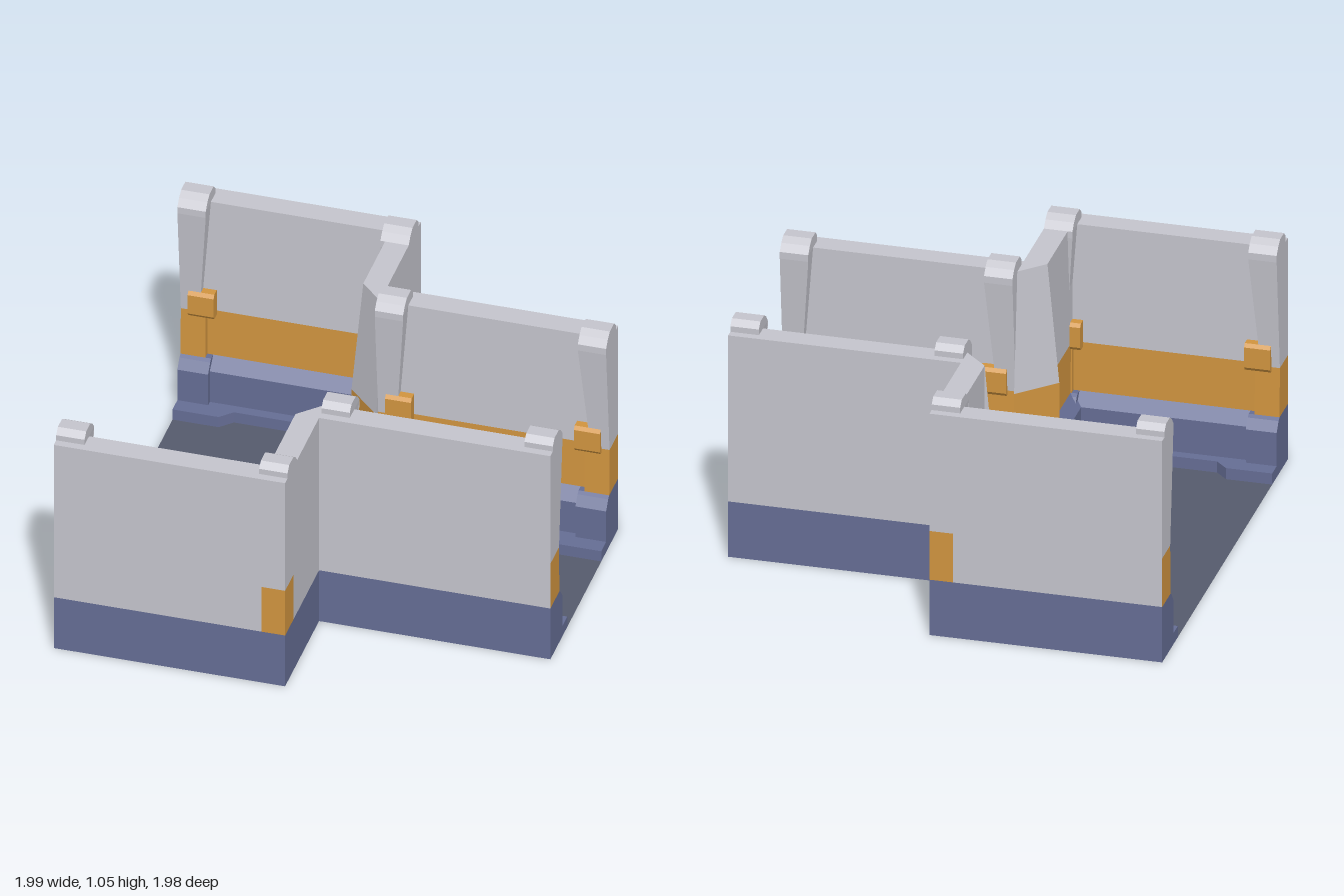
import * as THREE from 'three';

const mat = (name, color) => {
  const m = new THREE.MeshStandardMaterial({ color });
  m.name = name;
  return m;
};

// Swaps two corners of every triangle so mirrored geometry faces outward again.
function flip(geo) {
  const p = geo.attributes.position;
  const a = new THREE.Vector3(), b = new THREE.Vector3();
  for (let i = 0; i < p.count; i += 3) {
    a.fromBufferAttribute(p, i + 1);
    b.fromBufferAttribute(p, i + 2);
    p.setXYZ(i + 1, b.x, b.y, b.z);
    p.setXYZ(i + 2, a.x, a.y, a.z);
  }
  geo.computeVertexNormals();
  return geo;
}

// Stacks plan outlines (clockwise in x,z) at rising heights; can keep only chosen edges and caps.
function loft(rings, { edges = null, top = false, bottom = false } = {}) {
  const out = [];
  const put = (y, p) => out.push(p[0], y, p[1]);
  for (let r = 0; r + 1 < rings.length; r++) {
    const [y0, lo] = rings[r], [y1, hi] = rings[r + 1];
    lo.forEach((a, i) => {
      if (edges && !edges.includes(i)) return;
      const j = (i + 1) % lo.length;
      put(y0, a); put(y0, lo[j]); put(y1, hi[j]);
      put(y0, a); put(y1, hi[j]); put(y1, hi[i]);
    });
  }
  const cap = ([y, pts], up) => {
    const v = pts.map(p => new THREE.Vector2(p[0], p[1]));
    for (const t of THREE.ShapeUtils.triangulateShape(v, [])) {
      const ccw = THREE.ShapeUtils.area(t.map(i => v[i])) > 0;
      const order = ccw === up ? [t[0], t[2], t[1]] : t;
      order.forEach(i => put(y, pts[i]));
    }
  };
  if (top) cap(rings[rings.length - 1], true);
  if (bottom) cap(rings[0], false);
  const geo = new THREE.BufferGeometry();
  geo.setAttribute('position', new THREE.Float32BufferAttribute(out, 3));
  geo.computeVertexNormals();
  return geo;
}

// Extrudes a (depth from outer face, height) profile along a wall from u0 to width(y).
function rib(profile, u0, width, x0, dir, wallZ) {
  const shape = new THREE.Shape(profile.map(p => new THREE.Vector2(...p)));
  let geo = new THREE.ExtrudeGeometry(shape, { depth: 1, bevelEnabled: false });
  if (geo.index) geo = geo.toNonIndexed();
  const p = geo.attributes.position;
  for (let i = 0; i < p.count; i++) {
    const d = p.getX(i), y = p.getY(i);
    const u = u0 + p.getZ(i) * (width(y) - u0);
    p.setXYZ(i, x0 + dir * u, y, wallZ - d);
  }
  geo.computeVertexNormals();
  return dir < 0 ? flip(geo) : geo;
}

export function createModel() {
  const grey = mat('wall grey', 0xc4c4cc);
  const blue = mat('base blue', 0x656d94);
  const orange = mat('band orange', 0xd0943f);
  const dark = mat('floor slate', 0x555a6c);
  dark.side = THREE.DoubleSide;

  const group = new THREE.Group();
  group.name = 'corridorJunction';
  group.rotation.y = -0.0204;

  // Every wall part is made for the +z side and mirrored to the -z side.
  const add = (name, geo, material) => {
    const left = new THREE.Mesh(geo, material);
    left.name = name + 'Front';
    const g = geo.clone();
    g.scale(1, 1, -1);
    const right = new THREE.Mesh(flip(g), material);
    right.name = name + 'Back';
    group.add(left, right);
  };

  // Wall plan: outer face, then inner face set back by d with a chamfered corner.
  const inner = d => [[0.98, 0.49 - d], [0, 0.49 - d], [-d, 0.49], [-d, 0.98 - d], [-0.98, 0.98 - d]];
  const plan = d => [[-0.98, 0.98], [-0.1, 0.98], [0, 0.98], [0, 0.86], [0, 0.49], [0.98, 0.49], ...inner(d)];
  const band = [[0.25, plan(0.1)], [0.47, plan(0.1)]];
  add('wallBase', loft([[0, plan(0.15)], [0.2, plan(0.15)], [0.25, plan(0.1)]], { bottom: true }), blue);
  add('outerBand', loft(band, { edges: [0, 3, 4] }), grey);
  add('innerBand', loft(band, { edges: [1, 2, 5, 6, 7, 8, 9, 10] }), orange);
  add('upperWall', loft([[0.47, plan(0.1)], [1, plan(0.1)]], { top: true }), grey);

  // Leaning panel across the inner corner
  const tri = d => [[0, 0.49], [0, 0.49 - d], [-d, 0.49]];
  add('cornerBase', loft([[0.2, tri(0.15)], [0.25, tri(0.15)]]), blue);
  add('cornerBand', loft([[0.25, tri(0.15)], [0.47, tri(0.15)]]), orange);
  add('cornerPanel', loft([[0.47, tri(0.15)], [1, tri(0.1)]]), grey);

  // Low kerb, wider beside the ribs
  const kerbEdge = [
    [0.98, 0.245], [0.785, 0.245], [0.735, 0.295], [0.245, 0.295], [0.195, 0.245], [0, 0.245],
    [-0.245, 0.49], [-0.245, 0.785], [-0.735, 0.785], [-0.785, 0.735], [-0.98, 0.735],
  ];
  const kerb = [...inner(0.14).reverse(), ...kerbEdge];
  add('kerb', loft([[0, kerb], [0.05, kerb]], { top: true, bottom: true }), blue);

  // Floor between the kerbs
  const outline = [...kerbEdge, ...kerbEdge.map(([x, z]) => [x, -z]).reverse()];
  const floor = new THREE.Mesh(loft([[0, outline]], { top: true }), dark);
  floor.name = 'floor';
  group.add(floor);

  // Ribs at both ends of each wall: base, orange foot, clip, tapering post with a cap
  const baseProfile = [[0.09, 0], [0.175, 0], [0.175, 0.2], [0.145, 0.24], [0.13, 0.25], [0.09, 0.25]];
  const footProfile = [[0.09, 0.25], [0.13, 0.25], [0.125, 0.47], [0.09, 0.47]];
  const clipProfile = [[0.09, 0.45], [0.135, 0.45], [0.147, 0.465], [0.147, 0.555], [0.135, 0.57], [0.09, 0.57]];
  const postProfile = [
    [0.09, 0.47], [0.125, 0.47], [0.175, 0.97], [0.175, 1.0], [0.15, 1.03], [0.12, 1.05],
    [0.06, 1.05], [0.035, 1.025], [0.035, 0.999], [0.09, 0.999],
  ];
  const postWidth = y => THREE.MathUtils.mapLinear(Math.min(y, 0.97), 0.47, 0.97, 0.08, 0.12);
  const spots = [
    ['wideEnd', -0.98, 1, 0.98], ['wideCorner', 0, -1, 0.98],
    ['narrowCorner', 0, 1, 0.49], ['narrowEnd', 0.98, -1, 0.49],
  ];
  for (const [name, x, dir, z] of spots) {
    add(name + 'RibBase', rib(baseProfile, 0, () => 0.13, x, dir, z), blue);
    add(name + 'RibFoot', rib(footProfile, 0, () => 0.105, x, dir, z), orange);
    add(name + 'RibClip', rib(clipProfile, 0.035, () => 0.145, x, dir, z), orange);
    add(name + 'RibPost', rib(postProfile, 0, postWidth, x, dir, z), grey);
  }
  return group;
}
